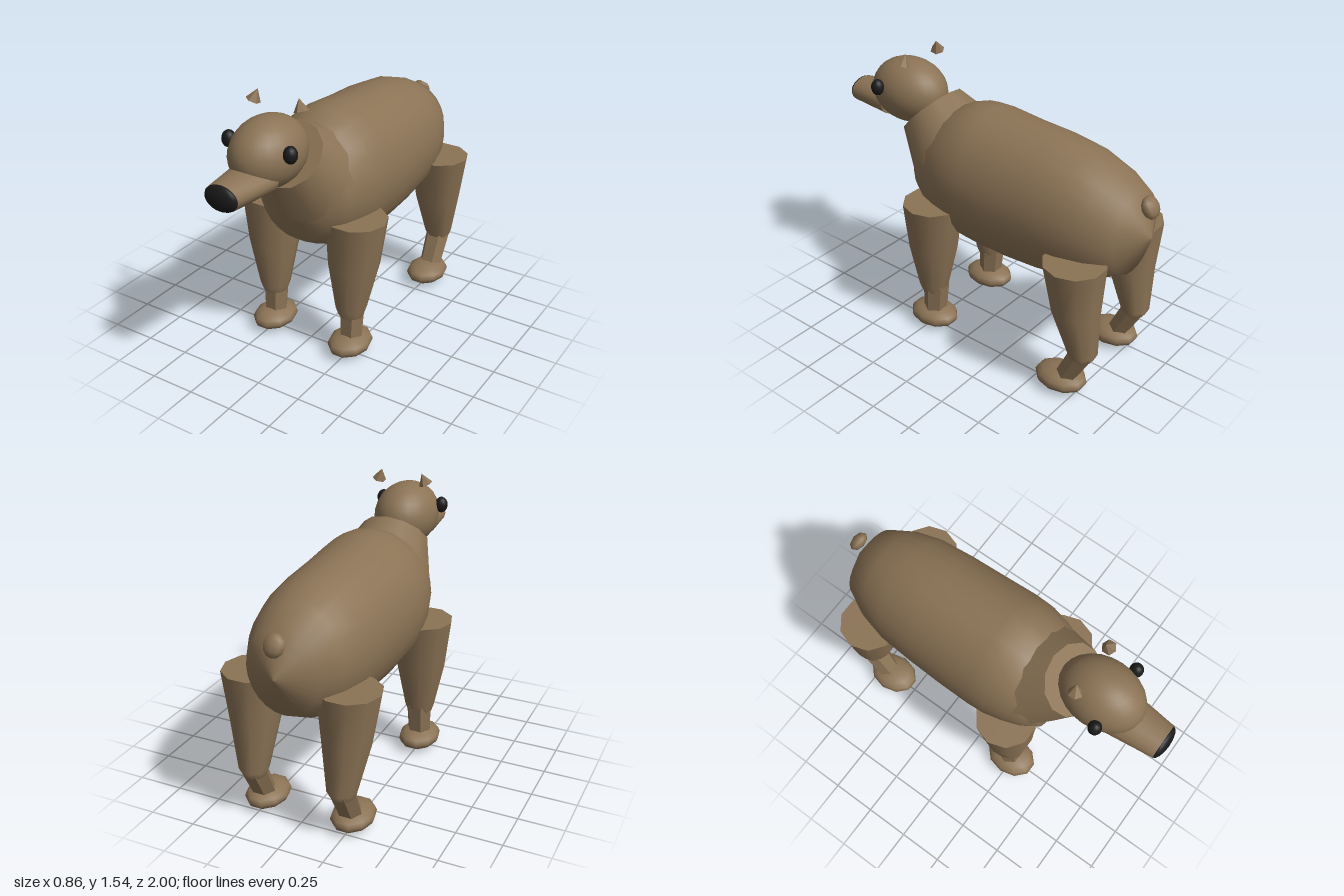
import * as THREE from 'three';

const fur = new THREE.MeshStandardMaterial({ color: 0x8b7355 });
fur.name = 'brownFur';
const black = new THREE.MeshStandardMaterial({ color: 0x1a1a1a });
black.name = 'black';

// Skin through elliptical rings [x, y, z, rx, r2], stacked along +y ('y') or +z ('z').
function loft(rings, sides, axis, capped) {
  const pos = [], idx = [];
  const point = ([x, y, z, rx, r2], j) => {
    const t = (j / sides) * Math.PI * 2, c = Math.cos(t) * rx, s = Math.sin(t) * r2;
    return axis === 'y' ? [x + c, y, z - s] : [x + c, y + s, z];
  };
  rings.forEach((r) => { for (let j = 0; j < sides; j++) pos.push(...point(r, j)); });
  for (let i = 0; i < rings.length - 1; i++) {
    for (let j = 0; j < sides; j++) {
      const a = i * sides + j, b = i * sides + (j + 1) % sides;
      idx.push(a, b, b + sides, a, b + sides, a + sides);
    }
  }
  if (capped) {
    [rings[0], rings[rings.length - 1]].forEach((r, end) => {
      const c = pos.length / 3;
      pos.push(r[0], r[1], r[2]);
      for (let j = 0; j < sides; j++) pos.push(...point(r, j));
      for (let j = 0; j < sides; j++) {
        const a = c + 1 + j, b = c + 1 + (j + 1) % sides;
        if (end) idx.push(c, a, b); else idx.push(c, b, a);
      }
    });
  }
  const g = new THREE.BufferGeometry();
  g.setAttribute('position', new THREE.Float32BufferAttribute(pos, 3));
  g.setIndex(idx);
  g.computeVertexNormals();
  return g;
}

export function createModel() {
  const model = new THREE.Group();
  model.name = 'bear';

  const add = (name, geo, mat, x = 0, y = 0, z = 0) => {
    const m = new THREE.Mesh(geo, mat);
    m.name = name;
    m.position.set(x, y, z);
    model.add(m);
    return m;
  };
  const ellipsoid = (rx, ry, rz, w = 24, h = 16) =>
    new THREE.SphereGeometry(1, w, h).scale(rx, ry, rz);

  // Barrel body: [z, bottom, top, half width]
  const body = [
    [-0.98, 0.929, 0.931, 0.001], [-0.885, 0.70, 1.155, 0.2], [-0.75, 0.625, 1.23, 0.27],
    [-0.6, 0.575, 1.282, 0.308], [-0.4, 0.55, 1.31, 0.322], [-0.2, 0.54, 1.32, 0.33],
    [0, 0.547, 1.338, 0.335], [0.1, 0.56, 1.335, 0.33], [0.2, 0.59, 1.3, 0.308],
    [0.3, 0.64, 1.24, 0.275], [0.385, 0.7, 1.16, 0.22], [0.45, 0.919, 0.921, 0.001],
  ].map(([z, lo, hi, rx]) => [0, (lo + hi) / 2, z, rx, (hi - lo) / 2]);
  add('body', loft(body, 24, 'z', false), fur);

  // Neck leaning forward from the chest
  const neck = add('neck', new THREE.CylinderGeometry(0.19, 0.28, 0.25, 12), fur, 0, 1.118, 0.345);
  neck.rotation.x = Math.atan2(0.18, 0.175);

  // Head, muzzle and nose
  add('head', ellipsoid(0.176, 0.18, 0.232), fur, 0, 1.28, 0.595);
  add('muzzle', loft([[0, 1.19, 0.7, 0.132, 0.082], [0, 1.184, 0.965, 0.098, 0.068]], 16, 'z', true), fur);
  add('nose', ellipsoid(0.095, 0.067, 0.035, 16, 12), black, 0, 1.184, 0.965);

  // Tail stub
  const tail = add('tail', ellipsoid(0.058, 0.06, 0.036, 8, 6), fur, 0, 1.098, -0.957);
  tail.rotation.x = 0.5;

  // Legs as [y, z offset, radius], from ankle to flat shoulder top
  const legs = {
    front: { z: 0.21, paw: 0.242, shank: [0.235, 0.22],
      rings: [[0.24, 0.025, 0.07], [0.285, 0.024, 0.085], [0.55, 0.01, 0.138], [0.82, 0, 0.165]] },
    rear: { z: -0.715, paw: -0.652, shank: [-0.685, -0.78],
      rings: [[0.25, -0.062, 0.062], [0.29, -0.064, 0.08], [0.55, -0.015, 0.13], [0.82, 0, 0.165]] },
  };

  for (const side of [1, -1]) {
    const label = side > 0 ? 'Left' : 'Right';

    add('eye' + label, ellipsoid(0.036, 0.045, 0.036, 16, 12), black, side * 0.18, 1.33, 0.668);

    // Small pointed ears above the head
    const earGeo = new THREE.ConeGeometry(0.039, 0.064, 6).toNonIndexed();
    earGeo.computeVertexNormals();
    const ear = add('ear' + label, earGeo, fur, side * 0.13, 1.515, 0.51);
    ear.rotation.set(-0.18, 0, side * 0.34);

    for (const [end, leg] of Object.entries(legs)) {
      const rings = leg.rings.map(([y, dz, r]) =>
        [side * (0.25 + 0.015 * Math.max(0, (y - 0.29) / 0.53)), y, leg.z + dz, r, r]);
      add(end + 'Leg' + label, loft(rings, 10, 'y', true), fur);

      const [zLow, zHigh] = leg.shank;
      const shankGeo = loft([[side * 0.25, 0.09, zLow, 0.065, 0.065],
        [side * 0.25, 0.28, zHigh, 0.073, 0.073]], 6, 'y', true).toNonIndexed();
      shankGeo.computeVertexNormals();
      add(end + 'Shank' + label, shankGeo, fur);

      add(end + 'Paw' + label, ellipsoid(0.114, 0.062, 0.148, 10, 8), fur, side * 0.25, 0.066, leg.paw);
    }
  }
  return model;
}
